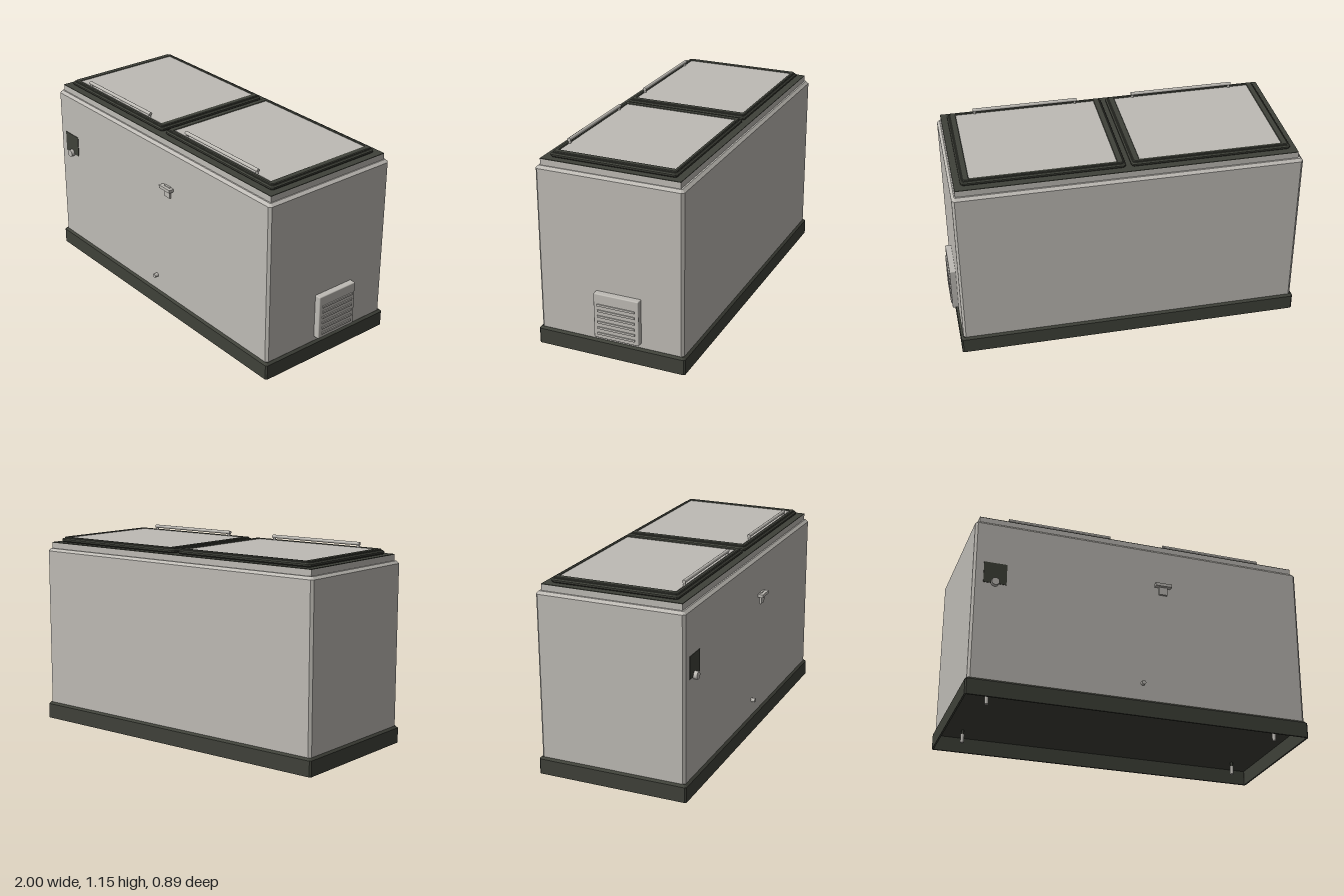
import * as THREE from 'three';
import { RoundedBoxGeometry } from 'three/addons/geometries/RoundedBoxGeometry.js';

const shell = new THREE.MeshStandardMaterial({ color: 0xbebbb5 });
shell.name = 'warm grey';
const trim = new THREE.MeshStandardMaterial({ color: 0x3f4139 });
trim.name = 'dark trim';

export function createModel() {
  const model = new THREE.Group();
  model.name = 'chestFreezer';

  const add = (name, geometry, material, parent = model) => {
    const mesh = new THREE.Mesh(geometry, material);
    mesh.name = name;
    parent.add(mesh);
    return mesh;
  };
  // box given by its limits on each axis, optionally with rounded edges
  const box = (name, [x0, x1], [y0, y1], [z0, z1], material, r = 0, parent = model) => {
    const s = [x1 - x0, y1 - y0, z1 - z0];
    const g = r ? new RoundedBoxGeometry(...s, 2, r) : new THREE.BoxGeometry(...s);
    g.translate((x0 + x1) / 2, (y0 + y1) / 2, (z0 + z1) / 2);
    return add(name, g, material, parent);
  };
  const rod = (name, r, length, [x, y, z], axis, material, parent = model) => {
    const g = new THREE.CylinderGeometry(r, r, length, 16);
    if (axis === 'x') g.rotateZ(Math.PI / 2);
    if (axis === 'z') g.rotateX(Math.PI / 2);
    g.translate(x, y, z);
    return add(name, g, material, parent);
  };
  // outline with cut corners, in x and -z
  const outline = (path, [x0, x1], [z0, z1], c) => {
    const a = -z1, b = -z0;
    path.setFromPoints([
      [x0 + c, a], [x1 - c, a], [x1, a + c], [x1, b - c],
      [x1 - c, b], [x0 + c, b], [x0, b - c], [x0, a + c],
    ].map(([u, v]) => new THREE.Vector2(u, v)));
    path.closePath();
    return path;
  };
  const extrude = (shape, y0, y1, bevel) => new THREE.ExtrudeGeometry(shape, {
    depth: y1 - y0 - 2 * bevel, bevelEnabled: bevel > 0,
    bevelSize: bevel, bevelThickness: bevel, bevelSegments: 1,
  }).rotateX(-Math.PI / 2).translate(0, y0 + bevel, 0);
  // flat rectangular frame with bevelled edges; limits are the outer ones
  const frame = (name, [x0, x1], [y0, y1], [z0, z1], wx, wz, bevel, material, parent = model) => {
    const shape = outline(new THREE.Shape(), [x0 + bevel, x1 - bevel], [z0 + bevel, z1 - bevel], 0.008);
    shape.holes.push(outline(new THREE.Path(), [x0 + wx, x1 - wx], [z0 + wz, z1 - wz], 0.001));
    return add(name, extrude(shape, y0, y1, bevel), material, parent);
  };
  // solid block with chamfered top and corners and a flat bottom
  const block = (name, [x0, x1], [y0, y1], [z0, z1], bevel, material) => {
    const shape = outline(new THREE.Shape(), [x0 + bevel, x1 - bevel], [z0 + bevel, z1 - bevel], 0.005);
    const g = extrude(shape, y0 - bevel, y1, bevel);
    const p = g.attributes.position;
    for (let i = 0; i < p.count; i++) p.setY(i, Math.max(p.getY(i), y0));
    g.computeVertexNormals();
    return add(name, g, material);
  };

  // plinth: a thin skirt, open underneath, with four small feet
  frame('plinthSkirt', [-1, 0.972], [0, 0.088], [-0.447, 0.43], 0.01, 0.01, 0, trim);
  block('plinthTop', [-1, 0.972], [0.087, 0.1], [-0.447, 0.43], 0.012, trim);
  for (const x of [-0.852, 0.824]) {
    for (const z of [-0.31, 0.293]) {
      rod('foot', 0.011, 0.05, [x, 0.037, z], 'y', shell);
      rod('footStem', 0.008, 0.03, [x, 0.075, z], 'y', trim);
    }
  }

  // cabinet, raised collar and the dark seal on top
  block('cabinet', [-0.988, 0.959], [0.095, 1.05], [-0.435, 0.418], 0.015, shell);
  box('collar', [-0.962, 0.938], [1.03, 1.083], [-0.411, 0.395], shell);
  box('collarSeal', [-0.962, 0.938], [1.083, 1.087], [-0.411, 0.395], trim);

  // two lids with inset panels and bar handles
  for (const x of [-0.477, 0.452]) {
    const lid = new THREE.Group();
    lid.name = x < 0 ? 'rightLid' : 'leftLid';
    lid.position.x = x;
    model.add(lid);
    frame('lidFrame', [-0.45, 0.45], [1.087, 1.11], [-0.374, 0.357], 0.045, 0.028, 0.007, trim, lid);
    frame('lidUpperFrame', [-0.438, 0.438], [1.106, 1.118], [-0.363, 0.346], 0.033, 0.017, 0.004, trim, lid);
    box('lidPanel', [-0.406, 0.406], [1.09, 1.115], [-0.347, 0.322], shell, 0, lid);
    rod('handleBar', 0.01, 0.605, [0, 1.137, 0.321], 'x', shell, lid);
    for (const s of [-1, 1]) rod('handlePost', 0.008, 0.025, [s * 0.292, 1.125, 0.321], 'y', shell, lid);
  }

  // front fittings
  box('controlPlate', [-0.93, -0.8], [0.67, 0.795], [0.415, 0.421], trim);
  rod('controlKnob', 0.022, 0.028, [-0.866, 0.674, 0.428], 'z', shell);
  rod('drainPlug', 0.012, 0.028, [-0.015, 0.197, 0.428], 'z', shell);
  box('latchBody', [0.085, 0.134], [0.76, 0.828], [0.413, 0.43], shell);
  box('latchGrip', [0.06, 0.156], [0.806, 0.824], [0.413, 0.448], shell);

  // side vent with louvres
  box('ventCover', [0.94, 0.994], [0.125, 0.39], [-0.19, 0.075], shell, 0.006);
  for (let i = 0; i < 6; i++) {
    const y = 0.155 + i * 0.034;
    box('ventLouvre', [0.985, 1], [y - 0.006, y + 0.006], [-0.168, 0.052], shell);
  }

  return model;
}
